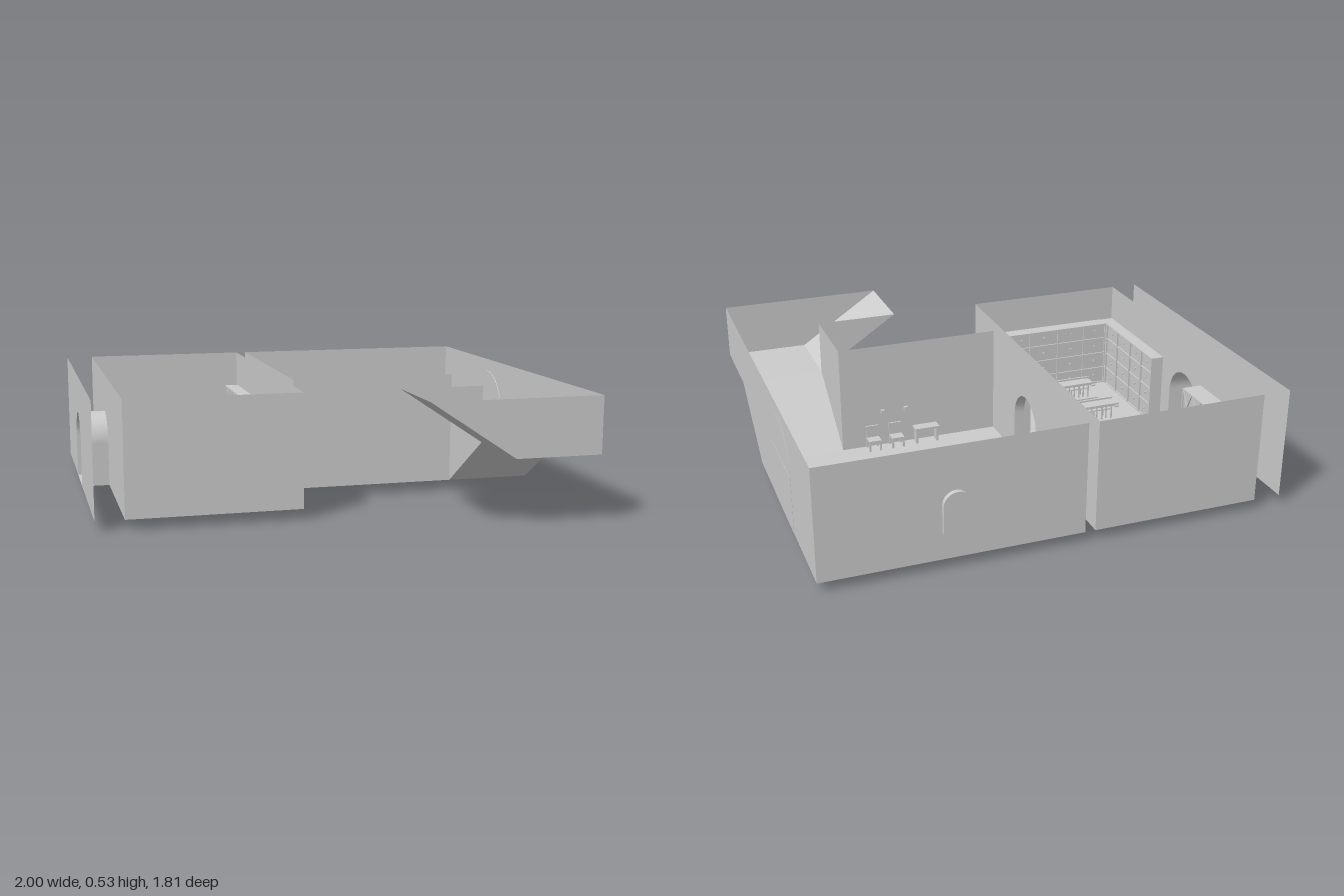
import * as THREE from 'three';

const FLOOR = 0.045, TOP = 0.53, MID = 0.288;
const LX0 = -0.88, LX1 = -0.145, LZ1 = 0.535;      // left room
const RX0 = -0.1, RX1 = 1, RZ1 = 0.165, BACK = -0.89; // right room
const TZ0 = -0.36, TZ1 = -0.11;                    // tunnel
const STAIR_X = 0.63, STAIR_END = 0.265, LAND_Z = 0.535, FRONT = 0.9;

const solid = new THREE.MeshStandardMaterial({ color: 0xcccccc, flatShading: true });
const thin = new THREE.MeshStandardMaterial({ color: 0xcccccc, side: THREE.DoubleSide });

function add(parent, name, geometry, material = solid) {
  const mesh = new THREE.Mesh(geometry, material);
  mesh.name = name;
  parent.add(mesh);
  return mesh;
}

function group(parent, name) {
  const g = new THREE.Group();
  g.name = name;
  parent.add(g);
  return g;
}

// box given by its two extreme corners
function box(parent, name, x0, x1, y0, y1, z0, z1) {
  const m = add(parent, name, new THREE.BoxGeometry(x1 - x0, y1 - y0, z1 - z0));
  m.position.set((x0 + x1) / 2, (y0 + y1) / 2, (z0 + z1) / 2);
  return m;
}

// flat four-sided sheet
function quad(parent, name, a, b, c, d) {
  const g = new THREE.BufferGeometry();
  g.setAttribute('position', new THREE.Float32BufferAttribute([a, b, c, d].flat(), 3));
  g.setIndex([0, 1, 2, 0, 2, 3]);
  g.computeVertexNormals();
  return add(parent, name, g, thin);
}

function floor(parent, name, x0, x1, z0, z1, y = FLOOR) {
  quad(parent, name, [x0, y, z0], [x0, y, z1], [x1, y, z1], [x1, y, z0]);
}

// upright sheet with a (u, y) outline, across x or across z
function wall(parent, name, axis, at, points) {
  const shape = new THREE.Shape(points.map(([u, y]) => new THREE.Vector2(u, y)));
  const m = add(parent, name, new THREE.ShapeGeometry(shape), thin);
  if (axis === 'x') {
    m.rotation.y = -Math.PI / 2;
    m.position.x = at;
  } else m.position.z = at;
  return m;
}

const rect = (u0, u1) => [[u0, FLOOR], [u1, FLOOR], [u1, TOP], [u0, TOP]];

// points of a round-topped doorway, from u0 over to u1
function archPoints(u0, u1, y0, top, n = 16) {
  const r = (u1 - u0) / 2, pts = [[u0, y0]];
  for (let i = 0; i <= n; i++) {
    const a = Math.PI * (1 - i / n);
    pts.push([u0 + r + r * Math.cos(a), top - r + r * Math.sin(a)]);
  }
  return [...pts, [u1, y0]];
}

const doorway = archPoints(TZ0, TZ1, FLOOR, 0.36);
const doorWall = (parent, name, x, z1) => wall(parent, name, 'x', x,
  [[BACK, FLOOR], ...doorway, [z1, FLOOR], [z1, TOP], [BACK, TOP]]);

// vaulted passage between two doorways
function tunnel(parent, name, x0, x1) {
  const pos = [], idx = [];
  doorway.forEach(([z, y], i) => {
    pos.push(x0, y, z, x1, y, z);
    if (i) idx.push(2 * i - 2, 2 * i - 1, 2 * i, 2 * i, 2 * i - 1, 2 * i + 1);
  });
  const g = new THREE.BufferGeometry();
  g.setAttribute('position', new THREE.Float32BufferAttribute(pos, 3));
  g.setIndex(idx);
  g.computeVertexNormals();
  add(parent, name + 'Vault', g, thin);
  floor(parent, name + 'Floor', x0, x1, TZ0, TZ1);
}

// arched frame with an open middle, extruded along its depth
function archFrame(parent, name, w, y0, top, t, depth) {
  const v = (p) => new THREE.Vector2(...p);
  const shape = new THREE.Shape(archPoints(-w / 2, w / 2, y0, top).map(v));
  shape.holes.push(new THREE.Path(archPoints(-w / 2 + t, w / 2 - t, y0 + t, top - t).map(v)));
  return add(parent, name, new THREE.ExtrudeGeometry(shape, { depth, bevelEnabled: false }));
}

// run of bookcases, facing '+x', '-x', '+z' or '-z', split at the given places
function shelves(parent, x0, x1, z0, z1, facing, splits, h, braced = false) {
  const alongX = facing[1] === 'z', len = alongX ? x1 - x0 : z1 - z0, depth = alongX ? z1 - z0 : x1 - x0;
  const g = group(parent, 'bookcase');
  g.position.set((x0 + x1) / 2, FLOOR, (z0 + z1) / 2);
  g.rotation.y = { '+z': 0, '-z': Math.PI, '+x': Math.PI / 2, '-x': -Math.PI / 2 }[facing];
  const sign = facing === '+z' || facing === '-x' ? 1 : -1;
  const mid = alongX ? (x0 + x1) / 2 : (z0 + z1) / 2;
  const cuts = [-len / 2, ...splits.map((s) => sign * (s - mid)), len / 2].sort((a, b) => a - b);
  const f = depth / 2, t = 0.005;
  box(g, 'carcass', -len / 2, len / 2, 0, h - t, -f, f - 0.008);
  box(g, 'topBoard', -len / 2, len / 2, h - t, h, -f, f);
  cuts.forEach((c) => {
    const u = Math.max(-len / 2, Math.min(len / 2 - t, c - t / 2));
    box(g, 'upright', u, u + t, 0, h - t, -f, f);
  });
  const rows = 4;
  if (!braced) for (let r = 0; r < rows; r++) {
    const y = (r * h) / rows;
    box(g, 'shelfBoard', -len / 2, len / 2, y, y + t, -f, f - 0.001);
    for (let i = 1; i < cuts.length; i++) {
      const m = (cuts[i - 1] + cuts[i]) / 2;
      box(g, 'knob', m - 0.004, m + 0.004, y + h / 8, y + h / 8 + 0.008, f - 0.008, f);
    }
  }
  // crossed laths over the front
  if (braced) for (let i = 0; i < 6; i++) for (let r = 0; r < 2; r++) for (const s of [-1, 1]) {
    const w = len / 6, hh = h / 2;
    const lath = add(g, 'crossLath', new THREE.BoxGeometry(Math.hypot(w, hh) - 0.01, 0.005, 0.005));
    lath.position.set(-len / 2 + (i + 0.5) * w, (r + 0.5) * hh, f - 0.004);
    lath.rotation.z = s * Math.atan2(hh, w);
  }
}

// reading table with a bench on both sides, on six trestles
function table(parent, x, z, turned = false) {
  const g = group(parent, 'readingTable');
  g.position.set(x, 0, z);
  if (turned) g.rotation.y = Math.PI / 2;
  box(g, 'tableTop', -0.145, 0.145, 0.135, 0.142, -0.035, 0.035);
  for (const s of [-1, 1]) {
    box(g, 'bench', -0.163, 0.163, 0.075, 0.081, s * 0.061 - 0.009, s * 0.061 + 0.009);
    box(g, 'tableRail', -0.16, 0.16, 0.142, 0.15, s * 0.037 - 0.004, s * 0.037 + 0.004);
    box(g, 'endBoard', s * 0.15 - 0.01, s * 0.15 + 0.01, 0.128, 0.135, -0.04, 0.04);
  }
  [-0.127, -0.078, -0.025, 0.025, 0.078, 0.127].forEach((u) => {
    box(g, 'crossBar', u - 0.003, u + 0.003, 0.026, 0.032, -0.066, 0.066);
    for (const s of [-1, 1]) {
      box(g, 'benchLeg', u - 0.003, u + 0.003, 0.005, 0.075, s * 0.061 - 0.003, s * 0.061 + 0.003);
      box(g, 'tableLeg', u - 0.003, u + 0.003, 0, 0.135, s * 0.028 - 0.003, s * 0.028 + 0.003);
    }
  });
}

export function createModel() {
  const model = new THREE.Group();
  model.name = 'libraryRooms';

  // left room, outer wall and passages
  const left = group(model, 'leftRoom');
  floor(left, 'floor', LX0, LX1, BACK, LZ1);
  wall(left, 'backWall', 'z', BACK, rect(LX0, LX1));
  wall(left, 'frontWall', 'z', LZ1, rect(LX0, LX1));
  doorWall(left, 'outerDoorWall', LX0, LZ1);
  doorWall(left, 'innerDoorWall', LX1, LZ1);
  doorWall(model, 'freeStandingWall', -1, LZ1);
  tunnel(model, 'entrance', -1, LX0);
  tunnel(model, 'passage', LX1, RX0);

  // right room
  const right = group(model, 'rightRoom');
  floor(right, 'floor', RX0, RX1, BACK, RZ1);
  wall(right, 'backWall', 'z', BACK, rect(RX0, RX1));
  wall(right, 'frontWall', 'z', RZ1, rect(RX0, STAIR_X));
  doorWall(right, 'doorWall', RX0, RZ1);
  wall(right, 'outerWall', 'x', RX1,
    [[BACK, FLOOR], [RZ1, FLOOR], [LAND_Z, MID], [FRONT, MID], [FRONT, TOP], [BACK, TOP]]);

  // ramps turning over a landing
  const ramp = group(model, 'ramp');
  quad(ramp, 'lowerRamp', [STAIR_X, FLOOR, RZ1], [STAIR_X, MID, LAND_Z], [RX1, MID, LAND_Z], [RX1, FLOOR, RZ1]);
  floor(ramp, 'landing', STAIR_X, RX1, LAND_Z, FRONT, MID);
  quad(ramp, 'upperRamp', [STAIR_END, TOP, LAND_Z], [STAIR_END, TOP, FRONT], [STAIR_X, MID, FRONT], [STAIR_X, MID, LAND_Z]);
  wall(ramp, 'lowerInnerWall', 'x', STAIR_X, [[RZ1, FLOOR], [LAND_Z, MID], [LAND_Z, TOP], [RZ1, TOP]]);
  wall(ramp, 'upperInnerWall', 'z', LAND_Z, [[STAIR_END, TOP], [STAIR_X, MID], [STAIR_X, TOP]]);
  wall(ramp, 'frontWall', 'z', FRONT, [[STAIR_END, TOP], [STAIR_X, MID], [RX1, MID], [RX1, TOP]]);

  // arched window and large arched door
  archFrame(right, 'windowFrame', 0.115, 0.165, 0.34, 0.012, 0.07).position.set(0.445, 0, -0.91);
  const door = group(right, 'archedDoor');
  door.position.set(RX1 - 0.004, 0, -0.315);
  door.rotation.y = Math.PI / 2;
  archFrame(door, 'doorFrame', 0.37, FLOOR, 0.475, 0.006, 0.005);
  box(door, 'transom', -0.185, 0.185, 0.288, 0.294, 0, 0.005);

  // bookcases
  shelves(left, LX0, -0.79, -0.865, -0.385, '+x', [-0.625], 0.32, true);
  shelves(left, -0.21, LX1, -0.865, -0.42, '-x', [-0.76, -0.69, -0.6, -0.48], 0.32);
  shelves(left, LX0, -0.82, -0.03, 0.53, '+x', [0.08, 0.2, 0.34, 0.46], 0.32);
  shelves(left, -0.21, LX1, -0.03, 0.47, '-x', [0.06, 0.13, 0.21, 0.35], 0.32);
  shelves(left, -0.82, -0.21, 0.47, LZ1, '-z', [-0.7, -0.56, -0.41, -0.32], 0.32);
  shelves(right, -0.045, 0.34, BACK, -0.83, '+z', [0.01, 0.14, 0.28], 0.25);
  shelves(right, 0.55, RX1, BACK, -0.83, '+z', [0.71, 0.82, 0.94], 0.25);
  shelves(right, RX0, -0.045, -0.83, -0.55, '+x', [-0.71], 0.25);
  shelves(right, 0.935, RX1, -0.83, -0.56, '-x', [-0.74, -0.66], 0.25);
  shelves(right, 0.56, RX1, -0.56, -0.5, '+z', [0.83], 0.25);

  // reading tables
  table(left, -0.515, 0.04);
  table(left, -0.515, 0.305);
  table(left, -0.375, -0.637, true);
  table(right, 0.218, -0.695);
  table(right, 0.672, -0.695);

  // cabinet, picture and seats along the walls
  box(right, 'cabinet', RX0, -0.045, 0.04, 0.25, -0.44, -0.375);
  box(right, 'picture', -0.105, -0.094, 0.19, 0.3, -0.54, -0.45);
  box(right, 'sideTableTop', 0.185, 0.3, 0.11, 0.12, 0.11, 0.16);
  for (const x of [0.19, 0.287]) box(right, 'sideTableLeg', x, x + 0.008, FLOOR, 0.11, 0.115, 0.155);
  for (const x of [0.355, 0.463]) {
    const chair = group(right, 'chair');
    box(chair, 'seat', x, x + 0.058, 0.085, 0.095, 0.105, 0.162);
    box(chair, 'backrest', x, x + 0.058, 0.095, 0.15, 0.154, 0.162);
    for (const u of [x, x + 0.05]) for (const z of [0.105, 0.154])
      box(chair, 'leg', u, u + 0.008, FLOOR, 0.085, z, z + 0.008);
  }
  for (const x of [0.33, 0.44]) box(right, 'wallLamp', x - 0.008, x + 0.008, 0.2, 0.22, 0.15, RZ1);
  return model;
}
